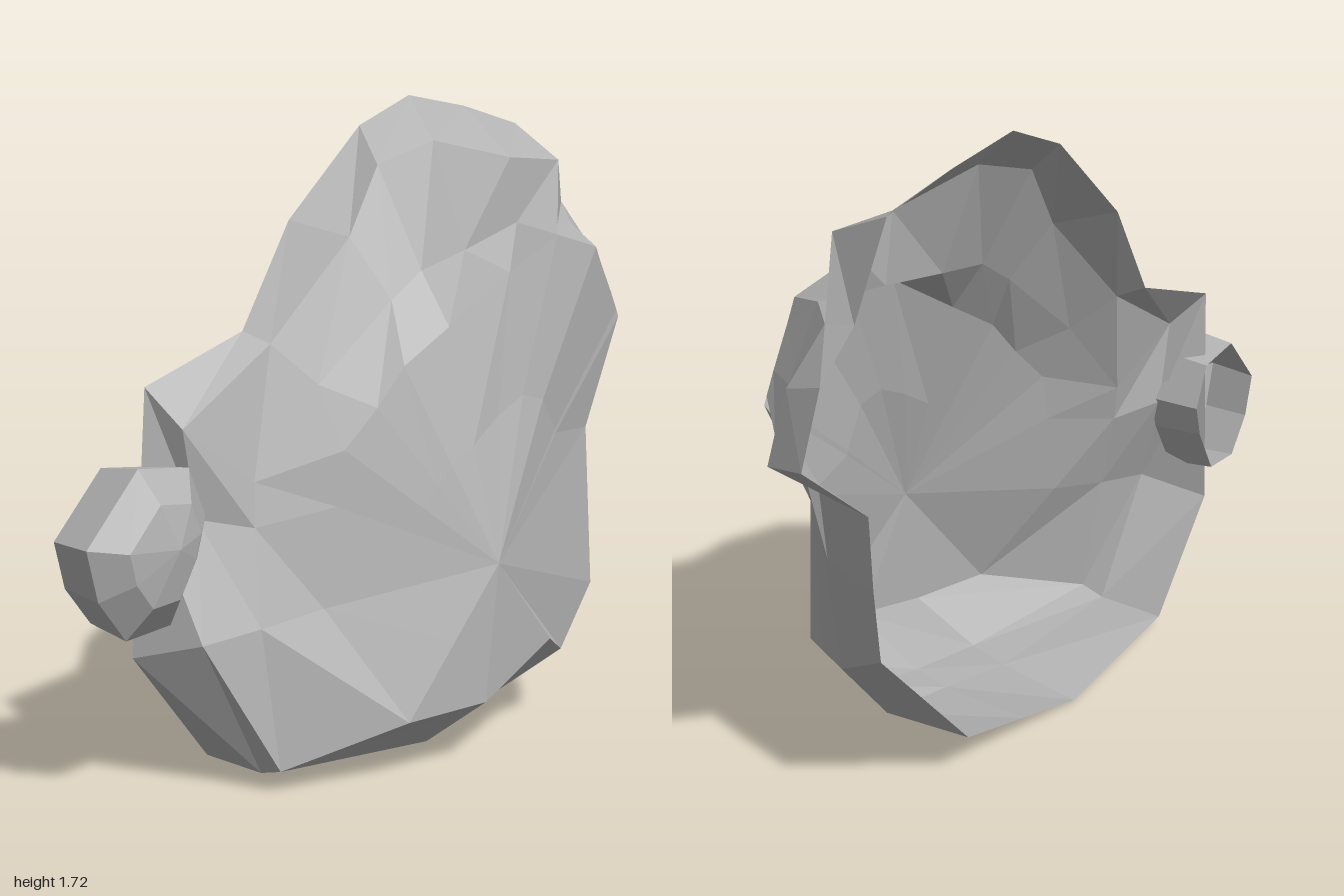
import * as THREE from 'three';

const P = (list) => list.map((p) => new THREE.Vector3(...p));

// Skin nested loops (outermost first, counter-clockwise from the front) and close on a peak.
function loft(rings, peak) {
  const pos = [];
  const tri = (...v) => v.forEach((p) => pos.push(p.x, p.y, p.z));
  const n = rings[0].length;
  rings.forEach((ring, r) => {
    const next = rings[r + 1];
    for (let k = 0; k < n; k++) {
      const j = (k + 1) % n;
      if (!next) tri(ring[k], ring[j], peak);
      else {
        tri(ring[k], ring[j], next[j]);
        tri(ring[k], next[j], next[k]);
      }
    }
  });
  const geo = new THREE.BufferGeometry();
  geo.setAttribute('position', new THREE.Float32BufferAttribute(pos, 3));
  geo.computeVertexNormals();
  return geo;
}

export function createModel() {
  const group = new THREE.Group();
  const stone = new THREE.MeshStandardMaterial({ color: 0xb2b2b2, flatShading: true, side: THREE.DoubleSide });
  stone.name = 'stone grey';
  const add = (name, geo) => {
    const mesh = new THREE.Mesh(geo, stone);
    mesh.name = name;
    group.add(mesh);
  };

  // Main boulder, hollow at the back. The first four points of each loop form the jutting side rock.
  // Open back rim
  const rim = P([
    [0.78, 0.95, -0.22], [1, 1.15, -0.22], [0.94, 1.33, -0.23], [0.82, 1.43, -0.23],
    [0.7, 1.64, -0.23], [0.48, 1.69, -0.24], [0.24, 1.72, -0.24], [0.04, 1.64, -0.24], [-0.22, 1.4, -0.25],
    [-0.41, 1.13, -0.23], [-0.72, 1.02, -0.25], [-0.74, 0.78, -0.25], [-0.78, 0.35, -0.25], [-0.55, 0.04, -0.24],
    [-0.08, 0, -0.24], [0.16, 0.07, -0.23], [0.4, 0.14, -0.22], [0.75, 0.55, -0.22], [0.77, 0.75, -0.22],
  ]);
  // Shoulder
  const shoulder = P([
    [0.67, 0.92, 0.02], [0.94, 1.1, -0.07], [0.9, 1.28, -0.1], [0.81, 1.41, -0.14],
    [0.62, 1.54, -0.01], [0.45, 1.55, -0.05], [0.18, 1.6, -0.1], [-0.02, 1.54, -0.12], [-0.15, 1.36, -0.1],
    [-0.38, 1.1, -0.16], [-0.68, 0.92, -0.16], [-0.64, 0.69, -0.16], [-0.71, 0.4, -0.07], [-0.55, 0.04, -0.04],
    [-0.08, 0.03, 0], [0.17, 0.08, 0.02], [0.42, 0.13, 0.03], [0.61, 0.37, 0.02], [0.67, 0.72, 0],
  ]);
  // Foot of the ledge
  const foot = P([
    [0.68, 1.0, 0.07], [0.79, 1.09, 0.04], [0.79, 1.21, -0.04], [0.62, 1.36, 0.04],
    [0.58, 1.36, 0.02], [0.47, 1.37, -0.04], [0.2, 1.31, -0.005], [0, 1.27, 0.015], [-0.1, 1.2, 0],
    [-0.32, 1.0, -0.05], [-0.5, 0.77, -0.1], [-0.52, 0.66, -0.08], [-0.56, 0.42, -0.02], [-0.55, 0.06, 0.03],
    [-0.1, 0.04, 0.12], [0.17, 0.1, 0.12], [0.4, 0.17, 0.12], [0.56, 0.36, 0.12], [0.6, 0.79, 0.09],
  ]);
  // Crown of the front lump
  const crown = P([
    [0.7, 1.1, 0.15], [0.69, 1.12, 0.15], [0.65, 1.17, 0.16], [0.57, 1.26, 0.18],
    [0.53, 1.31, 0.19], [0.38, 1.35, 0.17], [0.2, 1.26, 0.15], [0, 1.13, 0.11], [-0.14, 1.04, 0.08],
    [-0.22, 0.94, 0.06], [-0.31, 0.84, 0.03], [-0.34, 0.7, 0.03], [-0.4, 0.45, 0.04], [-0.28, 0.16, 0.22],
    [-0.05, 0.17, 0.28], [0.25, 0.27, 0.26], [0.38, 0.2, 0.2], [0.53, 0.36, 0.19], [0.55, 0.8, 0.15],
  ]);
  const peak = new THREE.Vector3(0, 0.53, 0.28);
  // Broad front face, dipping towards the upper left
  const face = crown.map((p) => {
    const q = p.clone().lerp(peak, 0.5);
    if (p.y > 1 && p.x > 0.1) q.z -= 0.02;
    return q;
  });
  add('mainBoulder', loft([rim, shoulder, foot, crown, face], peak));

  // Small round rock on the right side
  const outline = [
    [-0.63, 0.7], [-0.68, 0.83], [-0.84, 0.85], [-1, 0.68], [-0.97, 0.55], [-0.89, 0.44], [-0.75, 0.45], [-0.66, 0.6],
  ];
  const cx = -0.81, cy = 0.65;
  const pebbleRings = [[0.92, -0.28], [1, -0.14], [0.6, -0.075]].map(([s, z]) =>
    P(outline.map(([x, y]) => [cx + (x - cx) * s, cy + (y - cy) * s, z])));
  add('pebble', loft(pebbleRings, new THREE.Vector3(-0.79, 0.66, -0.05)));

  return group;
}
